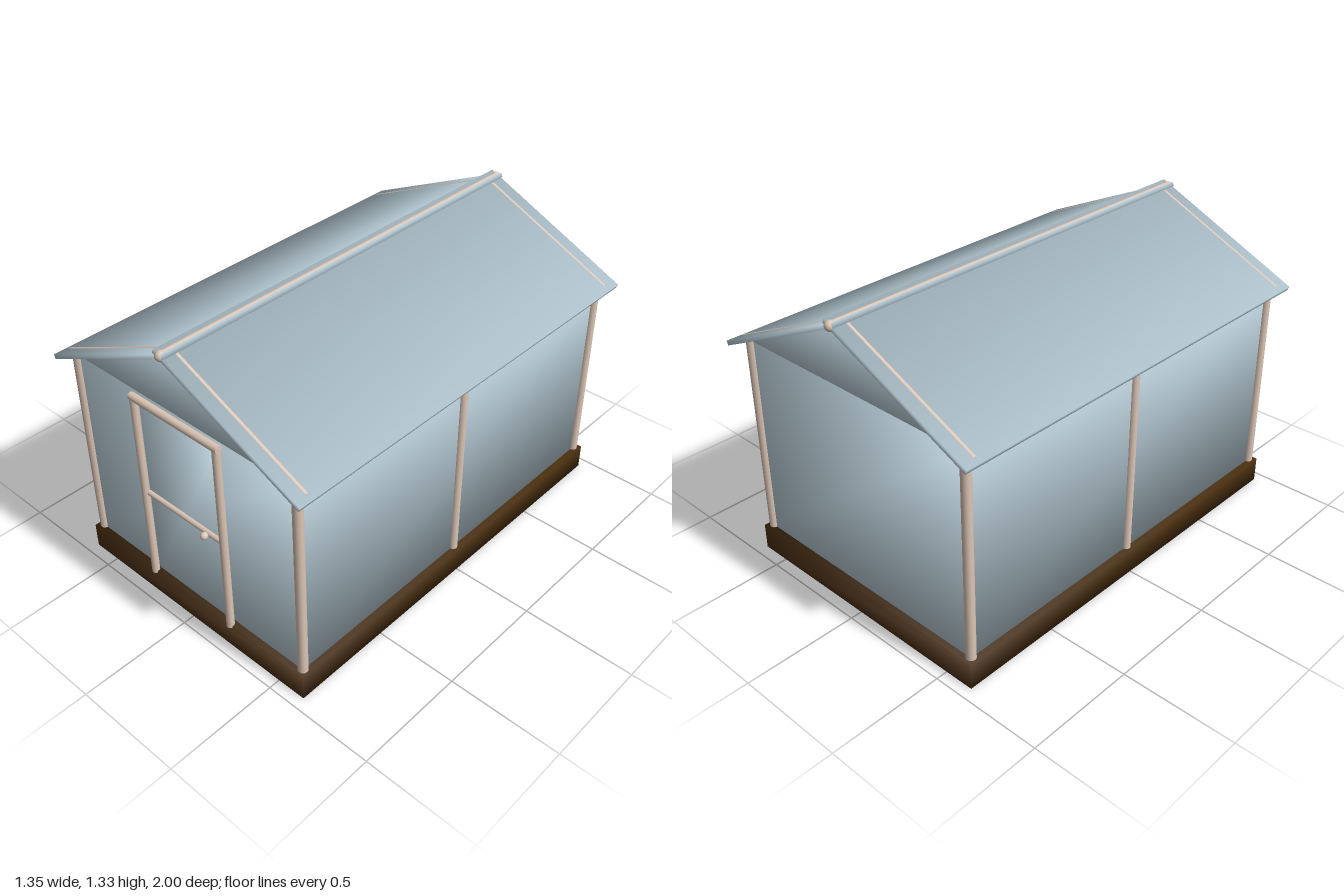
import * as THREE from 'three';

const glass = new THREE.MeshStandardMaterial({ color: 0xbfd4df });
glass.name = 'pale blue panel';
const wood = new THREE.MeshStandardMaterial({ color: 0xdcc6b6 });
wood.name = 'pale wood';
const soil = new THREE.MeshStandardMaterial({ color: 0x4a2f0e });
soil.name = 'dark brown base';

export function createModel() {
  const model = new THREE.Group();
  model.name = 'greenhouse';

  const add = (name, geometry, material, x = 0, y = 0, z = 0) => {
    const mesh = new THREE.Mesh(geometry, material);
    mesh.name = name;
    mesh.position.set(x, y, z);
    model.add(mesh);
    return mesh;
  };

  // Corner normals shared by all adjoining faces, for softly shaded slabs
  const soften = (geometry) => {
    const p = geometry.attributes.position;
    const n = geometry.attributes.normal;
    const v = new THREE.Vector3();
    const side = (t) => (Math.abs(t) < 1e-5 ? 0 : Math.sign(t));
    for (let i = 0; i < p.count; i++) {
      v.set(side(p.getX(i)), side(p.getY(i)), side(p.getZ(i))).normalize();
      n.setXYZ(i, v.x, v.y, v.z);
    }
    return geometry;
  };
  const slab = (w, h, d) => soften(new THREE.BoxGeometry(w, h, d));

  // Round pole between two points
  const pole = (name, a, b, r) => {
    const start = new THREE.Vector3(...a);
    const along = new THREE.Vector3(...b).sub(start);
    const mesh = add(name, new THREE.CylinderGeometry(r, r, along.length(), 16), wood);
    mesh.position.copy(start).addScaledVector(along, 0.5);
    mesh.quaternion.setFromUnitVectors(new THREE.Vector3(0, 1, 0), along.normalize());
    return mesh;
  };
  const ball = (name, r, x, y, z) => add(name, new THREE.SphereGeometry(r, 20, 14), wood, x, y, z);

  // Base and walls
  add('base', slab(1.264, 0.116, 1.898), soil, 0, 0.058, 0);
  add('walls', slab(1.21, 0.9, 1.84), glass, 0, 0.565, 0);

  // Gable ends as one triangular prism
  const triangle = new THREE.Shape();
  triangle.moveTo(-0.59, -0.14);
  triangle.lineTo(0.59, -0.14);
  triangle.lineTo(0, 0.142);
  triangle.closePath();
  const prism = new THREE.ExtrudeGeometry(triangle, { depth: 1.84, bevelEnabled: false });
  prism.translate(0, 0, -0.92);
  add('gable', soften(prism), glass, 0, 1.154, 0);

  // Roof slabs cross slightly at the ridge
  const ridgeY = 1.305;
  const pitch = Math.atan(0.453);
  const slope = (x) => ridgeY - 0.453 * x;
  for (const s of [-1, 1]) {
    const label = s > 0 ? 'left' : 'right';
    const mid = 0.3215;
    const roof = add(`${label}RoofPanel`, slab(0.769, 0.02, 1.96), glass, s * mid, slope(mid), -0.002);
    roof.rotation.z = -s * pitch;

    // Rafters, posts and eave rail on this side
    for (const z of [-0.917, 0.917]) {
      pole(`${label}Rafter`, [s * 0.02, slope(0.02), z], [s * 0.645, slope(0.645), z], 0.012);
      pole(`${label}CornerPost`, [s * 0.603, 0.11, z], [s * 0.603, 1.03, z], 0.021);
    }
    pole(`${label}MiddlePost`, [s * 0.603, 0.11, 0], [s * 0.603, 1.02, 0], 0.02);
    pole(`${label}EaveRail`, [s * 0.603, 1.015, -0.917], [s * 0.603, 1.015, 0.917], 0.014);

    // Door frame upright
    pole(`${label}DoorPost`, [s * 0.228, 0.107, 0.944], [s * 0.228, 1.01, 0.944], 0.017);
  }

  // Ridge pole with rounded ends
  pole('ridgePole', [0, ridgeY, -0.975], [0, ridgeY, 0.972], 0.018);
  for (const z of [-0.975, 0.968]) ball('ridgeEnd', 0.022, 0, ridgeY, z);

  // Door
  add('doorPanel', slab(0.424, 0.83, 0.014), glass, 0, 0.545, 0.926);
  pole('doorLintel', [-0.243, 1.004, 0.944], [0.243, 1.004, 0.944], 0.017);
  pole('doorTopRail', [-0.11, 0.99, 0.926], [0.11, 0.99, 0.926], 0.008);
  pole('doorMiddleRail', [-0.21, 0.541, 0.938], [0.21, 0.541, 0.938], 0.012);
  ball('doorKnob', 0.016, 0.164, 0.573, 0.983);

  return model;
}
